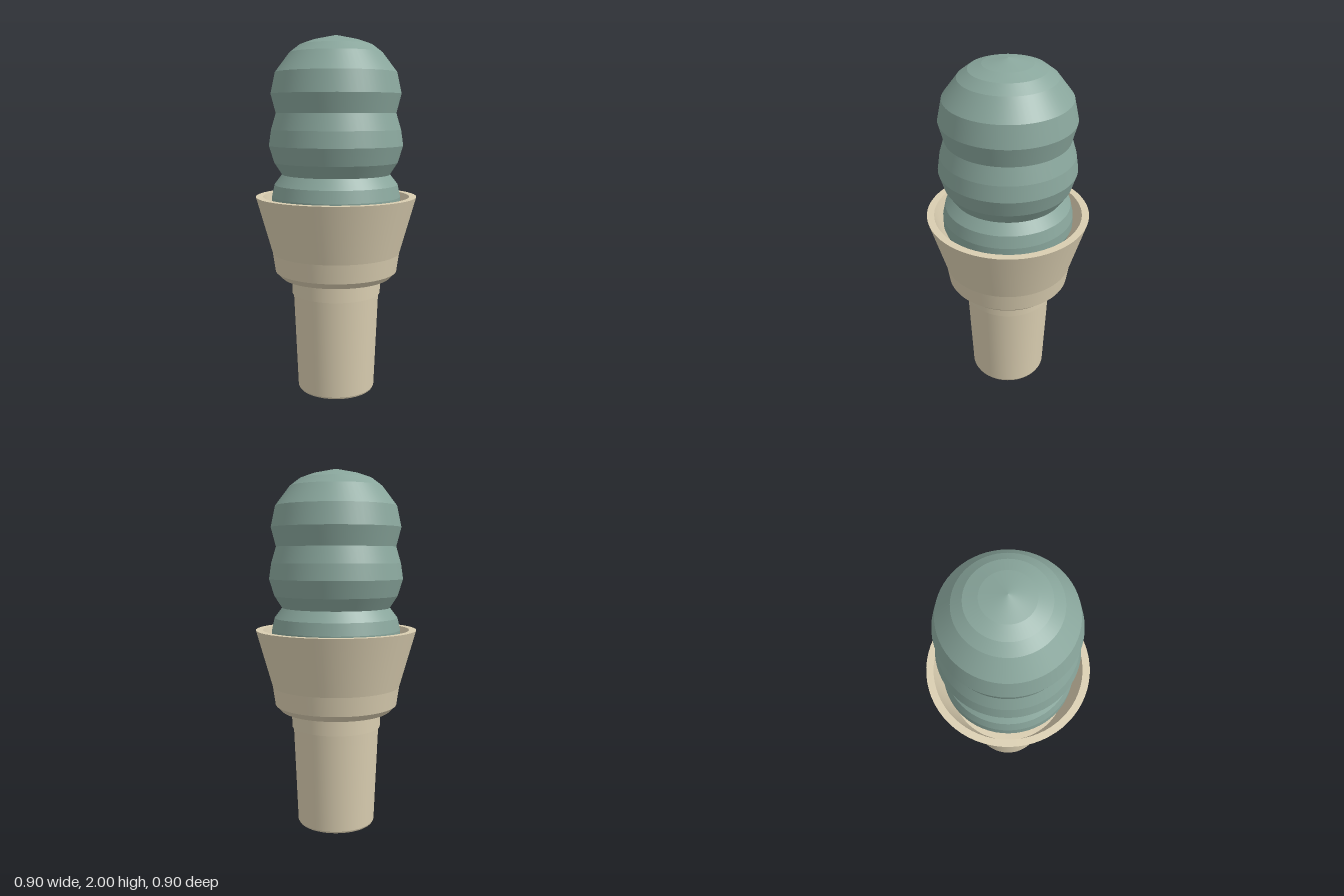
import * as THREE from 'three';
import { mergeGeometries } from 'three/addons/utils/BufferGeometryUtils.js';

const SIDES = 64;

// Revolved profile: smooth around, with a hard edge at every profile point.
// Points run from bottom to top along the outside as [radius, height].
function bandedLathe(profile) {
  const bands = [];
  for (let i = 0; i < profile.length - 1; i++) {
    const pair = [profile[i], profile[i + 1]].map(([r, y]) => new THREE.Vector2(r, y));
    bands.push(new THREE.LatheGeometry(pair, SIDES));
  }
  return mergeGeometries(bands);
}

export function createModel() {
  const group = new THREE.Group();
  group.name = 'iceCreamCone';

  const wafer = new THREE.MeshStandardMaterial({ color: 0xd9cdb0 });
  wafer.name = 'wafer beige';
  const cream = new THREE.MeshStandardMaterial({ color: 0x89a69c });
  cream.name = 'mint cream';

  function addPart(name, profile, material) {
    const mesh = new THREE.Mesh(bandedLathe(profile), material);
    mesh.name = name;
    group.add(mesh);
  }

  // Tapered stem with a flat base and a narrow collar
  addPart('coneStem', [
    [0, 0], [0.215, 0], [0.22, 0.01], [0.243, 0.565],
  ], wafer);
  addPart('stemCollar', [
    [0.24, 0.565], [0.252, 0.565], [0.252, 0.66],
  ], wafer);

  // Flared cup: underside, outer wall, flat rim, inner wall and floor
  addPart('coneCup', [
    [0.24, 0.645], [0.25, 0.645], [0.31, 0.66], [0.345, 0.695], [0.36, 0.8],
    [0.45, 1.12], [0.41, 1.12], [0.33, 0.8], [0, 0.78],
  ], wafer);

  // Stacked swirl, from inside the cup to the tip
  addPart('creamSwirl', [
    [0, 0.88], [0.25, 0.9], [0.33, 0.98], [0.36, 1.06], [0.36, 1.12],
    [0.345, 1.187], [0.302, 1.243],
    [0.345, 1.31], [0.373, 1.403], [0.36, 1.49], [0.333, 1.58],
    [0.36, 1.685], [0.335, 1.80], [0.255, 1.905], [0.2, 1.947], [0.13, 1.972], [0, 2],
  ], cream);

  return group;
}
